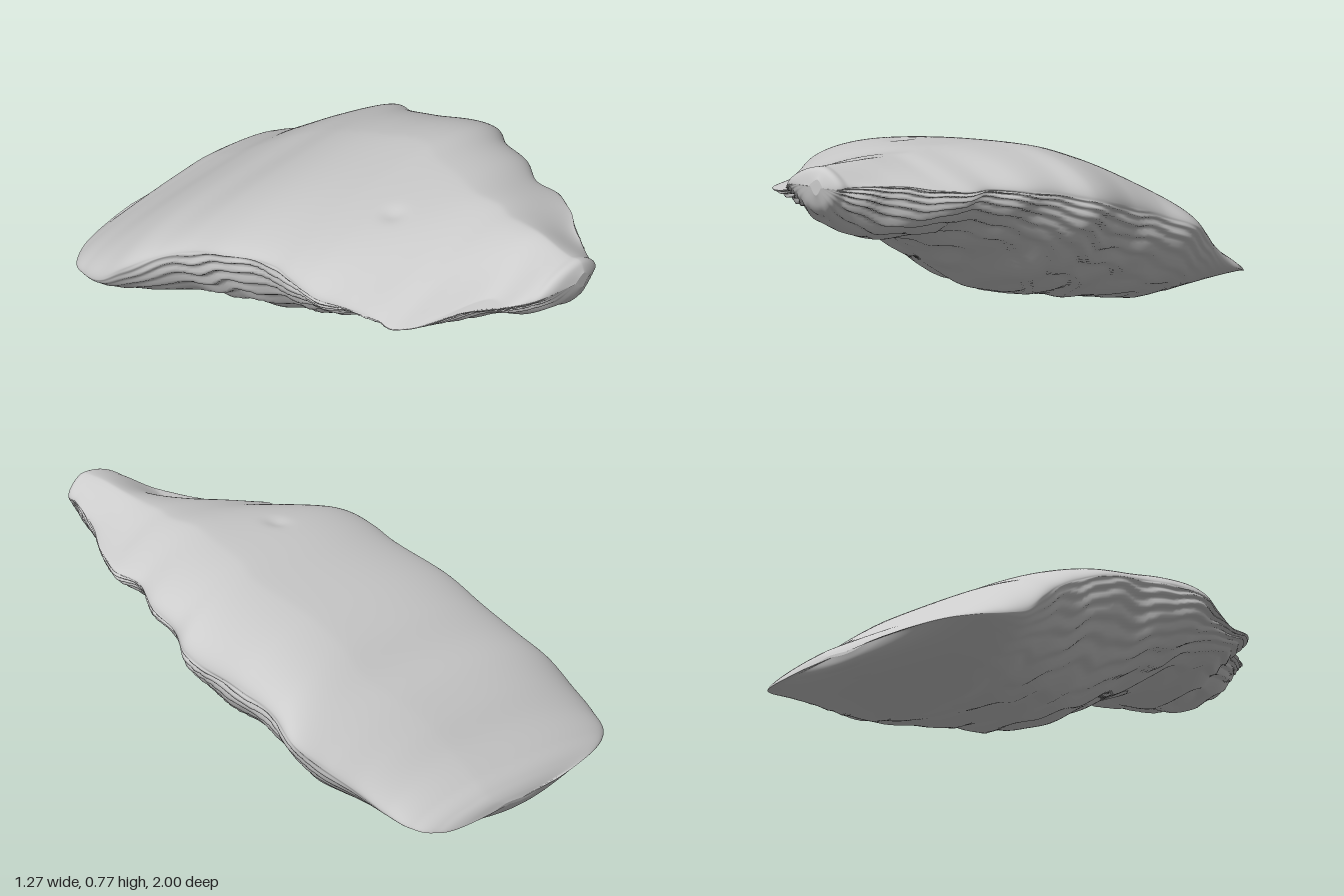
import * as THREE from 'three';

// Cross-sections from back to front: z, left x, right x, left rim y, right rim y, top y, bottom y
const SECTIONS = [
  [-1.0, -0.2, 0.2, 0.1, 0.1, 0.11, 0.09],
  [-0.99, -0.28, 0.31, 0.1, 0.1, 0.13, 0.07],
  [-0.96, -0.43, 0.41, 0.1, 0.11, 0.16, 0.05],
  [-0.9, -0.56, 0.47, 0.1, 0.13, 0.2, 0.03],
  [-0.8, -0.62, 0.5, 0.12, 0.17, 0.27, 0.01],
  [-0.7, -0.635, 0.53, 0.16, 0.23, 0.35, 0],
  [-0.6, -0.62, 0.58, 0.25, 0.3, 0.42, 0.01],
  [-0.48, -0.575, 0.63, 0.34, 0.38, 0.49, 0.04],
  [-0.35, -0.54, 0.59, 0.42, 0.43, 0.57, 0.065],
  [-0.2, -0.53, 0.59, 0.49, 0.48, 0.64, 0.09],
  [0.05, -0.5, 0.62, 0.56, 0.56, 0.72, 0.17],
  [0.15, -0.52, 0.56, 0.57, 0.59, 0.735, 0.24],
  [0.3, -0.53, 0.52, 0.57, 0.62, 0.75, 0.34],
  [0.42, -0.48, 0.45, 0.56, 0.64, 0.757, 0.41],
  [0.53, -0.44, 0.45, 0.55, 0.65, 0.757, 0.43],
  [0.6, -0.44, 0.42, 0.55, 0.66, 0.757, 0.44],
  [0.66, -0.37, 0.39, 0.56, 0.67, 0.76, 0.455],
  [0.75, -0.23, 0.32, 0.6, 0.69, 0.767, 0.48],
  [0.93, -0.08, 0.22, 0.66, 0.7, 0.768, 0.57],
  [0.98, -0.01, 0.2, 0.69, 0.7, 0.763, 0.62],
  [1.0, 0.08, 0.15, 0.7, 0.7, 0.73, 0.67],
];
const ROWS = 220, RING = 220;
const { lerp, smoothstep } = THREE.MathUtils;

// Dome height across a section, with its crest shifted sideways to k
function dome(c, k, a, b) {
  const d = (c - k) / (c > k ? 1 - k : 1 + k);
  return Math.pow(Math.max(0, 1 - Math.pow(Math.abs(d), a)), b);
}

// Soft wandering that bends and breaks the rock layers
const wander = (x, z) =>
  0.5 * Math.sin(3.1 * z + 2.3 * x) + 0.35 * Math.sin(7.3 * z - 4.1 * x + 1) +
  0.2 * Math.sin(17 * z + 9 * x + 2) + 0.1 * Math.sin(37 * z - 21 * x);

function rockPoint(section, z, t) {
  const [left, right, rimL, rimR, top, bottom] = section;
  const c = Math.cos(t), s = Math.sin(t);
  const rim = lerp(rimL, rimR, (c + 1) / 2);
  const front = smoothstep(z, 0.2, 0.75);
  let x = lerp(left, right, (c + 1) / 2), y;
  if (s >= 0) {
    // smooth upper face: flat at the back, a ridge right of centre at the front, a small dent
    const fall = lerp(0.03, 0.05, smoothstep(z, -0.5, 0)) + 0.09 * front;
    const slope = fall * (1 - 0.85 * smoothstep(z, 0.75, 1)) * Math.pow(Math.abs(c - 0.35), 1.3);
    y = lerp(rim, Math.max(rim, top - slope), dome(c, 0.1, lerp(3.5, 2.5, front), 0.55));
    y -= 0.01 * Math.exp(-((x + 0.12) ** 2 + (z - 0.27) ** 2) / 0.0015);
  } else {
    // underside: broad at the back, narrowing to a keel at the front
    const keel = lerp(-0.15, 0.1, front), narrow = smoothstep(z, -0.6, 0);
    const base = Math.min(rim, bottom + 0.06 * (c - keel) ** 2);
    y = lerp(rim, base, dome(c, keel, lerp(3, 2.2, narrow), lerp(0.6, 0.7, narrow)));
  }
  // layered ledges below the rim, fading towards the smooth back end
  const mask = smoothstep(-s, -0.1, 0.2) * smoothstep(z, -0.85, -0.25) * (1 - smoothstep(z, 0.9, 1));
  const layer = -s * 7 + wander(x, z) + 0.8 * z;
  const f = layer - Math.floor(layer);
  const ledge = f < 0.7 ? f / 0.7 : (1 - f) / 0.3;
  const push = mask * (0.02 * (ledge - 0.6) + 0.005 * Math.sin(29 * z + 13 * x + 4 * s));
  return [x + push * c, Math.max(0, y + push * s * 0.8), z];
}

function rockGeometry() {
  const width = 6;
  const spline = new THREE.CubicInterpolant(
    SECTIONS.map((r) => r[0]), SECTIONS.flatMap((r) => r.slice(1)), width, new Float32Array(width));
  const positions = [], index = [];
  for (let i = 0; i <= ROWS; i++) {
    const z = -Math.cos((Math.PI * i) / ROWS);
    const section = Array.from(spline.evaluate(z));
    for (let j = 0; j < RING; j++) positions.push(...rockPoint(section, z, (j / RING) * Math.PI * 2));
  }
  for (let i = 0; i < ROWS; i++) {
    for (let j = 0; j < RING; j++) {
      const a = i * RING + j, b = i * RING + ((j + 1) % RING);
      index.push(a, b, a + RING, b, b + RING, a + RING);
    }
  }
  // end caps
  const back = positions.length / 3, front = back + 1, last = ROWS * RING;
  positions.push(0, 0.1, -1, 0.115, 0.7, 1);
  for (let j = 0; j < RING; j++) {
    const k = (j + 1) % RING;
    index.push(back, k, j, front, last + j, last + k);
  }
  const geometry = new THREE.BufferGeometry();
  geometry.setAttribute('position', new THREE.Float32BufferAttribute(positions, 3));
  geometry.setIndex(index);
  geometry.computeVertexNormals();
  return geometry;
}

export function createModel() {
  const group = new THREE.Group();
  group.name = 'rock';
  const slab = new THREE.Mesh(rockGeometry(), new THREE.MeshStandardMaterial({ color: 0xcccccc }));
  slab.name = 'layeredSlab';
  group.add(slab);
  return group;
}
